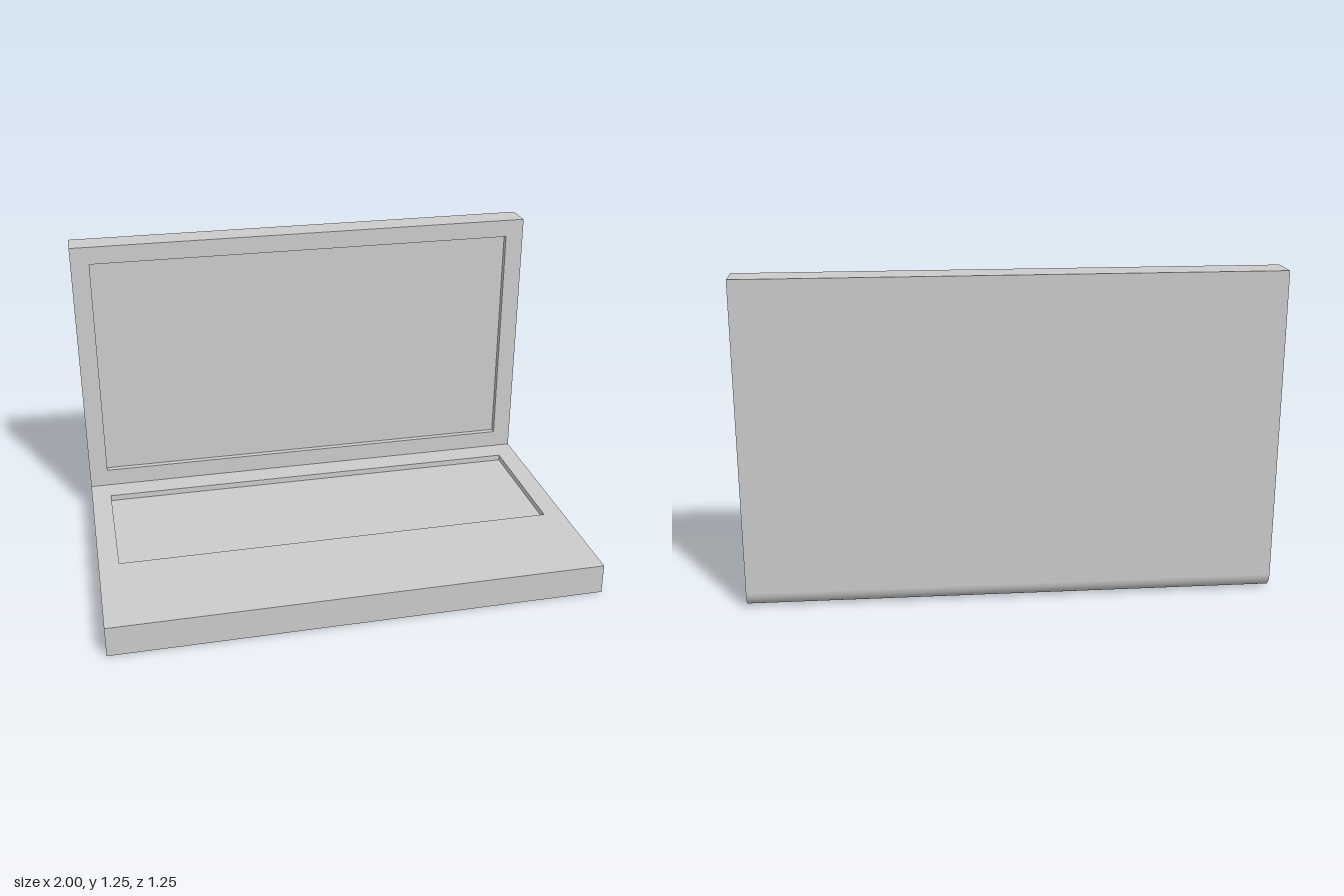
import * as THREE from 'three';

const T = 0.125, W = 1, D = 0.625, H = 1.25, R = 0.0625, RECESS = 0.025;
const material = new THREE.MeshStandardMaterial({ color: 0xcccccc });

function part(name, geometry) {
  const mesh = new THREE.Mesh(geometry, material);
  mesh.name = name;
  return mesh;
}

// Outer profile as [z, y, normalZ, normalY]: front edge, underside, rounded hinge, back, top edge
function outerProfile() {
  const p = [[D, T, 1, 0], [D, 0, 1, 0], [D, 0, 0, -1]];
  for (let i = 0; i <= 10; i++) {
    const a = (i / 10) * Math.PI / 2, nz = -Math.sin(a), ny = -Math.cos(a);
    p.push([-D + R + R * nz, R + R * ny, nz, ny]);
  }
  p.push([-D, H, -1, 0], [-D, H, 0, 1], [T - D, H, 0, 1]);
  return p;
}

// Outer skin swept across the full width
function skinGeometry(profile) {
  const pos = [], nor = [], index = [];
  profile.forEach(([z, y, nz, ny], i) => {
    pos.push(-W, y, z, W, y, z);
    nor.push(0, ny, nz, 0, ny, nz);
    const a = 2 * i;
    if (i < profile.length - 1) index.push(a, a + 2, a + 3, a, a + 3, a + 1);
  });
  const g = new THREE.BufferGeometry();
  g.setAttribute('position', new THREE.Float32BufferAttribute(pos, 3));
  g.setAttribute('normal', new THREE.Float32BufferAttribute(nor, 3));
  g.setIndex(index);
  return g;
}

const rect = (Type, x0, y0, x1, y1) => new Type([[x0, y0], [x1, y0], [x1, y1], [x0, y1]]
  .map(([x, y]) => new THREE.Vector2(x, y)));

// Inner face with a shallow rectangular recess, facing +z
function recessedFace(name, y0, y1, hole) {
  const [hx0, hy0, hx1, hy1] = hole;
  const group = new THREE.Group();
  group.name = name;
  const frame = rect(THREE.Shape, -W, y0, W, y1);
  frame.holes.push(rect(THREE.Path, ...hole));
  group.add(part(name + 'Frame', new THREE.ShapeGeometry(frame)));

  // Open box turned inside out: four walls and a floor
  const tray = new THREE.BoxGeometry(hx1 - hx0, hy1 - hy0, RECESS);
  const index = Array.from(tray.index.array);
  index.splice(24, 6);
  tray.setIndex(index.reverse());
  tray.clearGroups();
  tray.computeVertexNormals();
  tray.translate((hx0 + hx1) / 2, (hy0 + hy1) / 2, -RECESS / 2);
  group.add(part(name + 'Recess', tray));
  return group;
}

export function createModel() {
  const model = new THREE.Group();
  model.name = 'openLaptop';
  const profile = outerProfile();
  model.add(part('outerShell', skinGeometry(profile)));

  // L-shaped side faces, mirrored
  const outline = profile.filter((p, i) => i !== 2 && i !== profile.length - 2)
    .map(([z, y]) => new THREE.Vector2(-z, y));
  outline.push(new THREE.Vector2(D - T, T));
  const sideGeometry = new THREE.ShapeGeometry(new THREE.Shape(outline)).rotateY(Math.PI / 2);
  for (const s of [1, -1]) {
    const side = part(s > 0 ? 'leftSide' : 'rightSide', sideGeometry);
    side.position.x = s * W;
    side.scale.x = s;
    model.add(side);
  }

  // Lid with recessed screen
  const screen = recessedFace('screen', T, H, [-0.922, 0.2, 0.922, 1.175]);
  screen.position.z = T - D;
  model.add(screen);

  // Deck with recessed keyboard area
  const keyboard = recessedFace('keyboard', -D, D - T, [-0.917, -0.182, 0.917, 0.395]);
  keyboard.rotation.x = -Math.PI / 2;
  keyboard.position.y = T;
  model.add(keyboard);
  return model;
}
